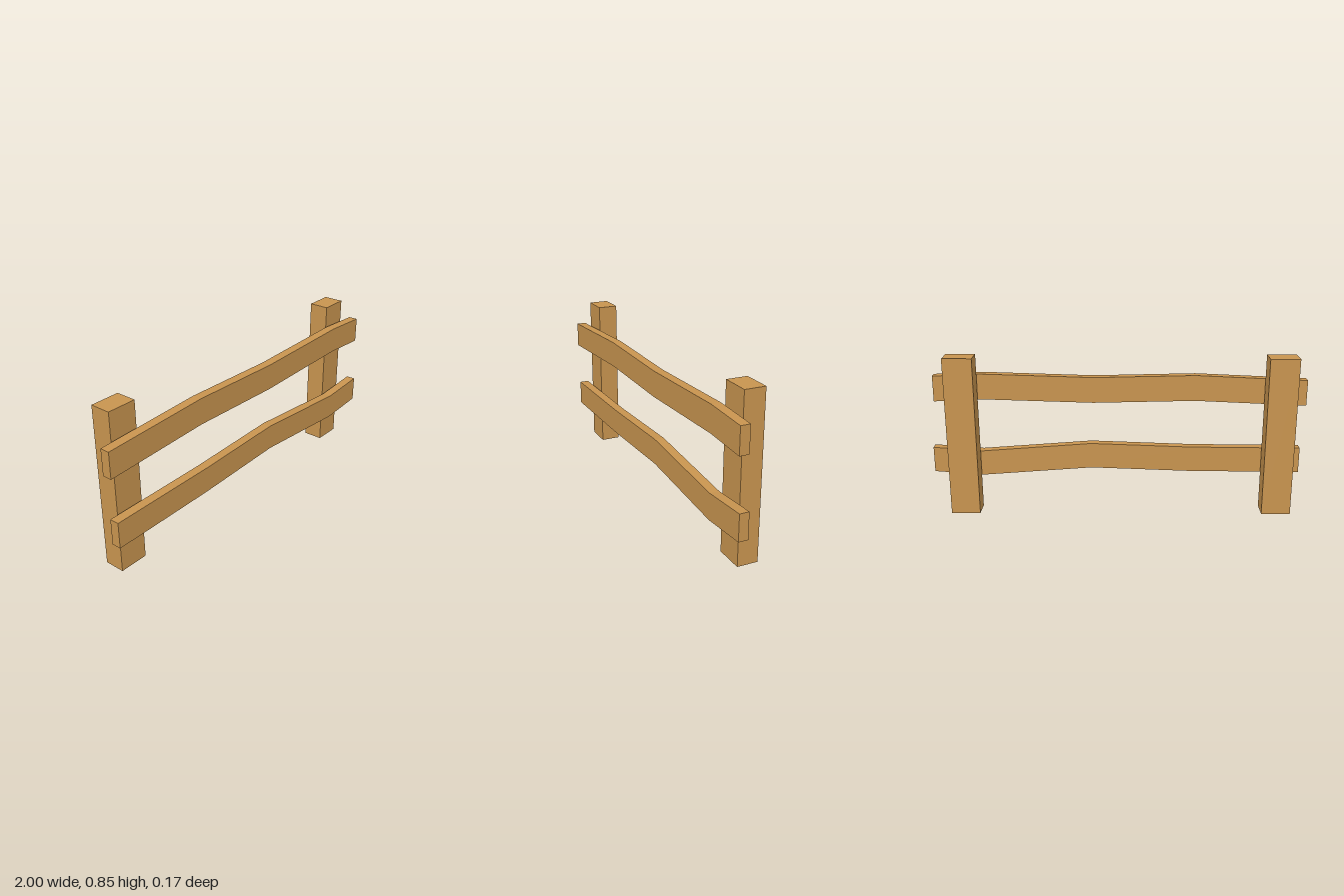
import * as THREE from 'three';

const wood = new THREE.MeshStandardMaterial({ color: 0xc8944f, flatShading: true });

// Square-cut upright standing on the ground
function makePost(name, x) {
  const post = new THREE.Mesh(new THREE.BoxGeometry(0.154, 0.853, 0.108), wood);
  post.name = name;
  post.position.set(x, 0.4265, -0.031);
  return post;
}

// Bent plank: constant height, following a polyline of its upper edge
function makeRail(name, topEdge) {
  const height = 0.138;
  const outline = [
    ...topEdge.map(([x, y]) => new THREE.Vector2(x, y - height)),
    ...topEdge.map(([x, y]) => new THREE.Vector2(x, y)).reverse(),
  ];
  const geometry = new THREE.ExtrudeGeometry(new THREE.Shape(outline), { depth: 0.05, bevelEnabled: false });
  const rail = new THREE.Mesh(geometry, wood);
  rail.name = name;
  rail.position.z = 0.036;
  return rail;
}

export function createModel() {
  const fence = new THREE.Group();
  fence.name = 'fence';
  fence.add(
    makePost('rightPost', -0.851),
    makePost('leftPost', 0.82),
    makeRail('upperRail', [[-1, 0.711], [-0.41, 0.737], [0.13, 0.725], [0.73, 0.743], [0.98, 0.731]]),
    makeRail('lowerRail', [[-0.983, 0.334], [-0.39, 0.339], [0.145, 0.358], [0.735, 0.314], [1, 0.334]]),
  );
  return fence;
}
